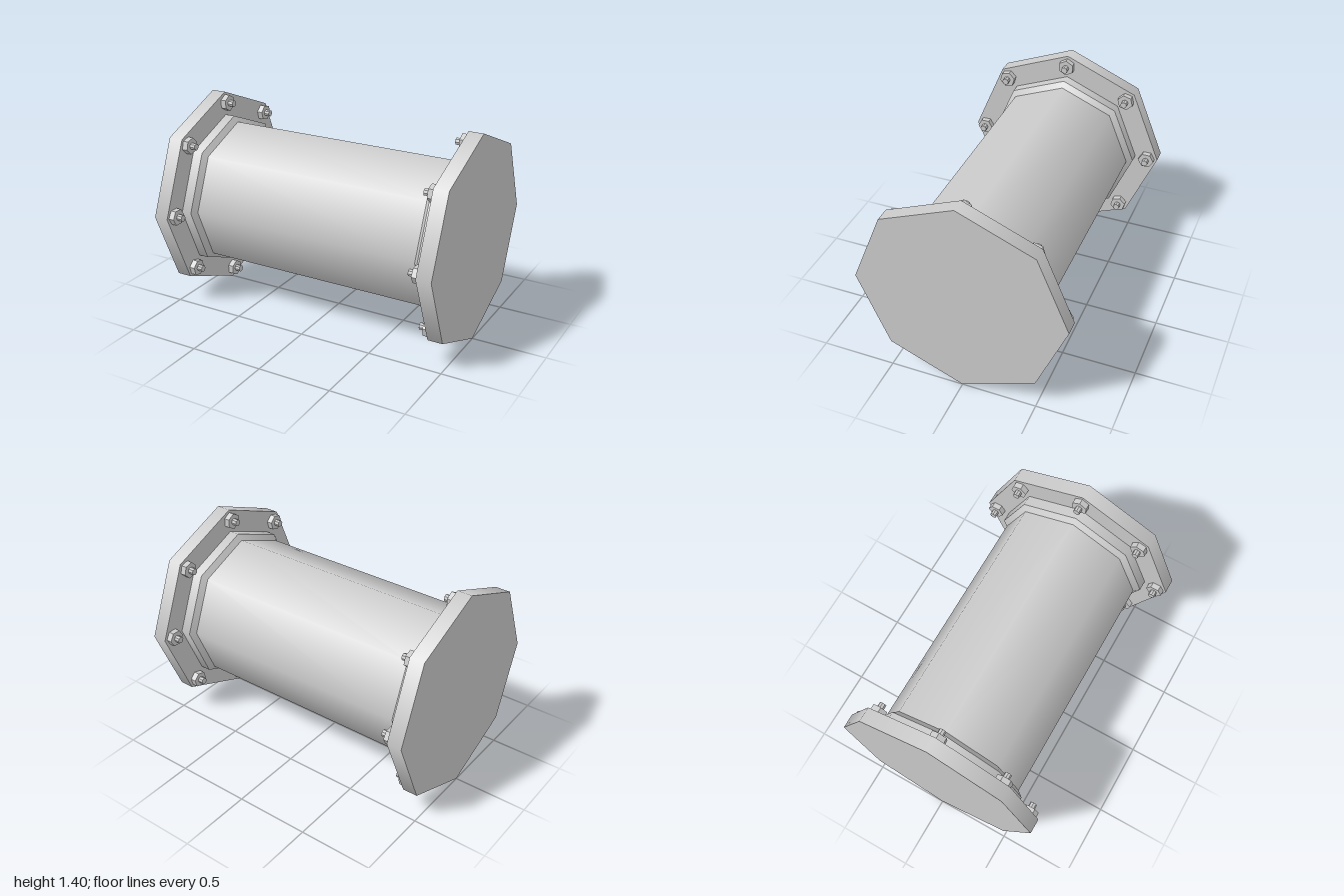
import * as THREE from 'three';

const material = new THREE.MeshStandardMaterial({ color: 0xcccccc });
const facetedMaterial = new THREE.MeshStandardMaterial({ color: 0xcccccc, flatShading: true });

// Cylinder lying along x, from x0 to x1, with a corner pointing to +z
function barX(name, r0, r1, x0, x1, sides, mat = material, open = false) {
  const geometry = new THREE.CylinderGeometry(r1, r0, x1 - x0, sides, 1, open);
  geometry.rotateZ(-Math.PI / 2);
  geometry.translate((x0 + x1) / 2, 0, 0);
  const mesh = new THREE.Mesh(geometry, mat);
  mesh.name = name;
  return mesh;
}

// Flanged end facing +x: plate, stepped collar and a ring of nuts on studs
function makeEnd(name) {
  const end = new THREE.Group();
  end.name = name;
  end.add(barX('flange', 0.7, 0.7, 0.9, 1, 8));
  end.add(barX('collar', 0.538, 0.538, 0.83, 0.9, 8, material, true));
  end.add(barX('collarChamfer', 0.5, 0.538, 0.8, 0.83, 8, material, true));

  for (let i = 0; i < 8; i++) {
    const bolt = new THREE.Group();
    bolt.name = 'bolt';
    const nut = barX('nut', 0.056, 0.056, 0.862, 0.9, 6, facetedMaterial);
    const stud = barX('stud', 0.023, 0.023, 0.825, 0.862, 8, facetedMaterial);
    nut.position.z = stud.position.z = 0.625;
    bolt.add(nut, stud);
    bolt.rotation.x = (i * Math.PI) / 4;
    end.add(bolt);
  }
  return end;
}

export function createModel() {
  const model = new THREE.Group();
  model.name = 'flangedPipe';
  model.add(barX('pipe', 0.5, 0.5, -0.8, 0.8, 8, material, true));

  const leftEnd = makeEnd('leftEnd');
  const rightEnd = makeEnd('rightEnd');
  rightEnd.rotation.y = Math.PI;
  model.add(leftEnd, rightEnd);

  // Raise the axis so the flanges stand on the ground
  model.children.forEach((part) => { part.position.y = 0.7; });
  return model;
}
